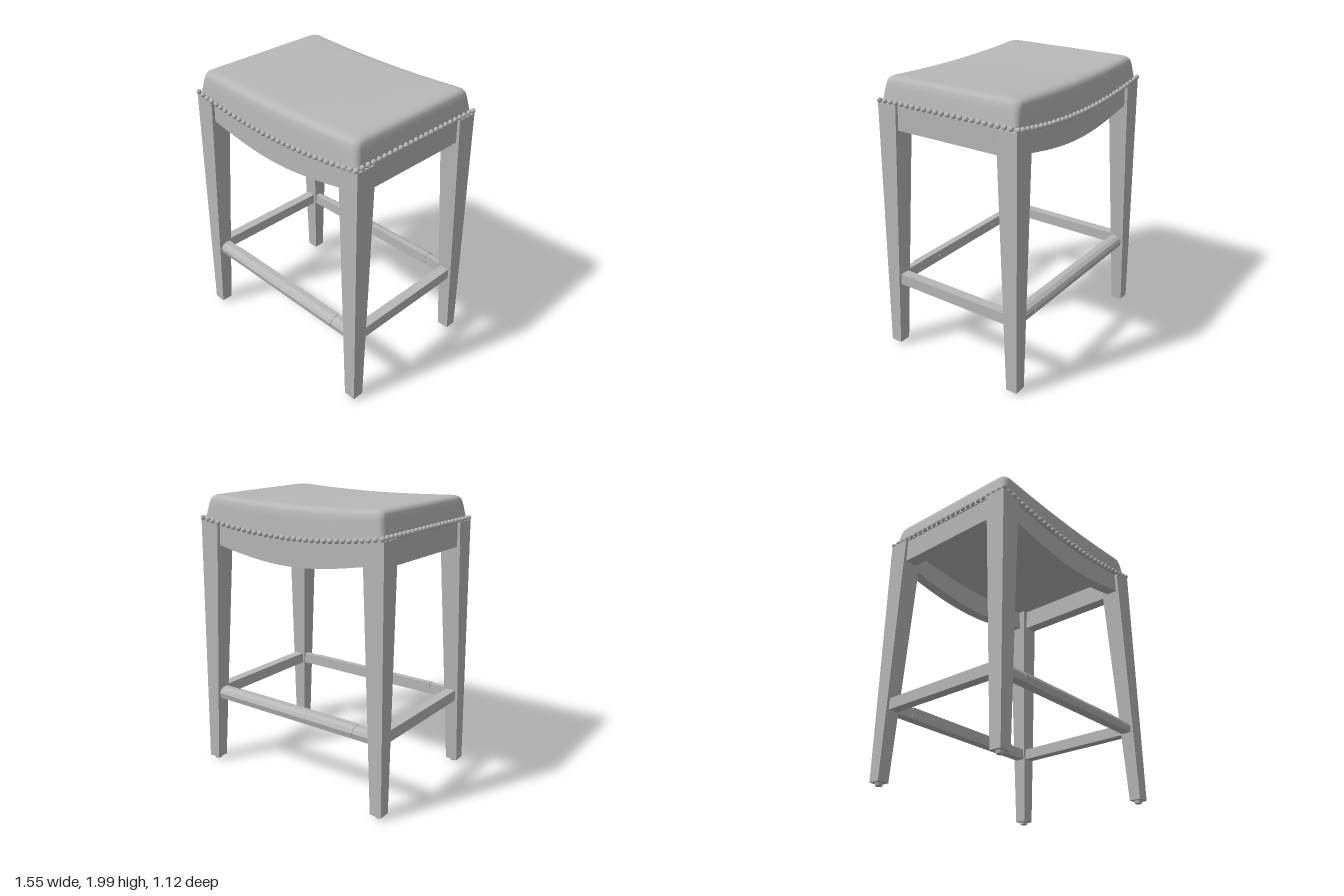
import * as THREE from 'three';
import { mergeVertices } from 'three/addons/utils/BufferGeometryUtils.js';

const grey = new THREE.MeshStandardMaterial({ color: 0xb8b8b8 });
grey.name = 'grey';

// Saddle curves: the cushion dips towards the middle
const dip = (x) => Math.max(0, 1 - (x / 0.75) ** 2);
const seamY = (x) => 1.818 - 0.068 * dip(x);
const topY = (x) => 2.0 - 0.026 * dip(x);

function add(parent, name, geometry, x = 0, y = 0, z = 0) {
  const mesh = new THREE.Mesh(geometry, grey);
  mesh.name = name;
  mesh.position.set(x, y, z);
  parent.add(mesh);
  return mesh;
}

// Rounded rectangle outline with evenly spread points on each side
function outline(hx, hz, r, n = 16) {
  const pts = [];
  const corners = [[1, 1], [-1, 1], [-1, -1], [1, -1]];
  corners.forEach(([sx, sz], i) => {
    const arc = [];
    for (let k = 0; k <= 5; k++) {
      const a = (i + k / 5) * Math.PI / 2;
      arc.push([sx * (hx - r) + r * Math.cos(a), sz * (hz - r) + r * Math.sin(a)]);
    }
    pts.push(...arc);
    const [nx, nz] = corners[(i + 1) % 4];
    const a = (i + 1) * Math.PI / 2;
    const end = [nx * (hx - r) + r * Math.cos(a), nz * (hz - r) + r * Math.sin(a)];
    for (let k = 1; k < n; k++) {
      const t = k / n, s = arc[5];
      pts.push([s[0] + (end[0] - s[0]) * t, s[1] + (end[1] - s[1]) * t]);
    }
  });
  return pts;
}

// Stack of outlines: [half width, half depth, corner radius, height 0..1]
function loftSeat(levels) {
  const pos = [], index = [];
  let n = 0;
  for (const [hx, hz, r, h] of levels) {
    const ring = outline(hx, hz, r);
    n = ring.length;
    for (const [x, z] of ring) pos.push(x, seamY(x) + (topY(x) - seamY(x)) * h, z);
  }
  for (let l = 0; l < levels.length - 1; l++) {
    for (let i = 0; i < n; i++) {
      const a = l * n + i, b = l * n + (i + 1) % n;
      index.push(a, a + n, b, b, a + n, b + n);
    }
  }
  const g = new THREE.BufferGeometry();
  g.setAttribute('position', new THREE.Float32BufferAttribute(pos, 3));
  g.setIndex(index);
  const welded = mergeVertices(g, 1e-5);
  welded.computeVertexNormals();
  return welded;
}

// Tapered leg, flaring slightly outwards towards the floor
function legGeometry(sx, sz) {
  const g = new THREE.BoxGeometry(1, 1, 1);
  const p = g.attributes.position;
  for (let i = 0; i < p.count; i++) {
    const top = p.getY(i) > 0;
    const outX = p.getX(i) * sx > 0, outZ = p.getZ(i) * sz > 0;
    const x = outX ? (top ? 0.755 : 0.777) : (top ? 0.6 : 0.69);
    const z = outZ ? (top ? 0.547 : 0.558) : (top ? 0.395 : 0.475);
    p.setXYZ(i, sx * x, top ? 1.82 : 0.02, sz * z);
  }
  g.computeVertexNormals();
  return g;
}

// Bar along x with a profile given as (outwards, up) points
function barGeometry(profile, length) {
  const shape = new THREE.Shape(profile.map(([z, y]) => new THREE.Vector2(-z, y)));
  const g = new THREE.ExtrudeGeometry(shape, { depth: length, bevelEnabled: false });
  g.translate(0, 0, -length / 2);
  g.rotateY(Math.PI / 2);
  // the turn maps -z of the profile to +z outwards
  return g;
}

export function createModel() {
  const model = new THREE.Group();
  model.name = 'saddleStool';

  // Cushion
  add(model, 'cushion', loftSeat([
    [0.742, 0.54, 0.03, 0], [0.738, 0.537, 0.035, 0.12], [0.728, 0.531, 0.04, 0.4],
    [0.72, 0.526, 0.045, 0.65], [0.711, 0.52, 0.05, 0.82], [0.7, 0.51, 0.05, 0.91],
    [0.683, 0.492, 0.05, 0.965], [0.655, 0.466, 0.05, 0.993], [0.62, 0.43, 0.045, 1],
    [0.45, 0.3, 0.03, 1], [0.2, 0.14, 0.01, 1], [0.0, 0.0, 0, 1],
  ]));
  add(model, 'cushionUnderside', loftSeat([
    [0, 0, 0, 0], [0.3, 0.2, 0.01, 0], [0.55, 0.4, 0.02, 0], [0.742, 0.54, 0.03, 0],
  ]));

  // Nail heads around the seam
  const nails = new THREE.Group();
  nails.name = 'nailHeads';
  model.add(nails);
  const nail = new THREE.SphereGeometry(0.0175, 10, 7);
  for (const s of [-1, 1]) {
    for (let i = 0; i <= 31; i++) {
      const x = -0.742 + 1.484 * i / 31;
      add(nails, 'nailHead', nail, x, seamY(x) + 0.017, s * 0.543);
    }
    for (let i = 1; i < 23; i++) {
      add(nails, 'nailHead', nail, s * 0.742, 1.835, -0.543 + 1.086 * i / 23);
    }
  }

  // Legs and floor glides
  for (const sx of [-1, 1]) for (const sz of [-1, 1]) {
    add(model, 'leg', legGeometry(sx, sz));
    add(model, 'glide', new THREE.CylinderGeometry(0.028, 0.024, 0.024, 12), sx * 0.733, 0.012, sz * 0.517);
  }

  // Curved front and back aprons
  const apron = new THREE.Shape();
  const steps = 24;
  for (let i = 0; i <= steps; i++) {
    const x = -0.64 + 1.28 * i / steps;
    const y = 1.578 + 0.075 * (1 - Math.cos(Math.min(1, Math.abs(x) / 0.62) * Math.PI * 0.5));
    i ? apron.lineTo(x, y) : apron.moveTo(x, y);
  }
  for (let i = steps; i >= 0; i--) {
    const x = -0.64 + 1.28 * i / steps;
    apron.lineTo(x, seamY(x) + 0.004);
  }
  const apronGeometry = new THREE.ExtrudeGeometry(apron, { depth: 0.08, bevelEnabled: false });
  add(model, 'frontApron', apronGeometry, 0, 0, 0.445);
  add(model, 'backApron', apronGeometry, 0, 0, -0.525);

  // Bars between the legs, with metal foot plates
  const bar = [[0.462, 0.505], [0.532, 0.505], [0.54, 0.545], [0.528, 0.568], [0.502, 0.583], [0.462, 0.583]];
  const plate = [[0.459, 0.52], [0.538, 0.52], [0.544, 0.546], [0.531, 0.571], [0.503, 0.587], [0.459, 0.587]];
  for (const s of [1, -1]) {
    const side = new THREE.Group();
    side.name = s > 0 ? 'frontStretcher' : 'backStretcher';
    side.rotation.y = s > 0 ? 0 : Math.PI;
    model.add(side);
    // reversed so that the outline runs the right way round after mirroring
    add(side, 'stretcher', barGeometry(bar.map(([z, y]) => [z, y]), 1.36));
    add(side, 'footPlate', barGeometry(plate, 1.06));
    for (const x of [-0.33, 0.33]) {
      const screw = add(side, 'plateScrew', new THREE.CylinderGeometry(0.01, 0.01, 0.006, 10), x, 0.55, 0.457);
      screw.rotation.x = Math.PI / 2;
    }

    // Side apron and side stretcher
    add(model, 'sideApron', new THREE.BoxGeometry(0.09, 0.17, 0.86), s * 0.69, 1.735, 0);
    add(model, 'sideStretcher', new THREE.BoxGeometry(0.07, 0.08, 0.96), s * 0.715, 0.544, 0);
  }
  return model;
}
